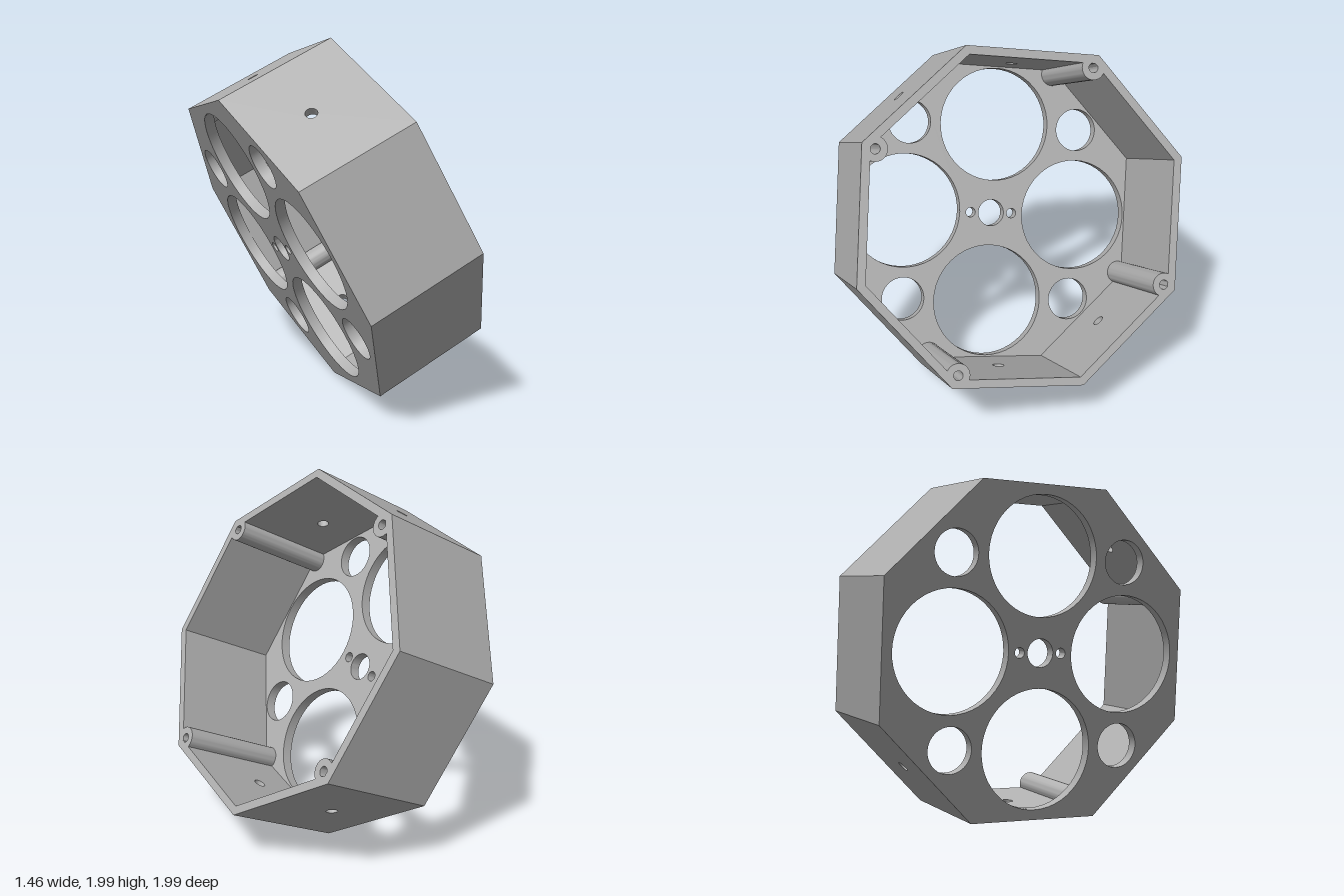
import * as THREE from 'three';
import { toCreasedNormals } from 'three/addons/utils/BufferGeometryUtils.js';

const R = 0.959;                           // octagon corner radius
const STEP = Math.PI / 4;
const OUTER = R * Math.cos(STEP / 2);      // centre to outer wall face
const WALL = 0.045, INNER = OUTER - WALL;
const HALF = 0.34;                         // half the box depth
const FLOOR = 0.06;

const polar = (r, angle) => new THREE.Vector2(r * Math.cos(angle), r * Math.sin(angle));

function punch(shape, centre, r) {
  const hole = new THREE.Path();
  hole.absarc(centre.x, centre.y, r, 0, Math.PI * 2, true);
  shape.holes.push(hole);
}

function extrude(shape, depth) {
  return new THREE.ExtrudeGeometry(shape, { depth, bevelEnabled: false, curveSegments: 24 });
}

export function createModel() {
  const model = new THREE.Group();
  model.name = 'octagonalHousing';
  const grey = new THREE.MeshStandardMaterial({ color: 0xb0b0b0 });
  grey.name = 'plain grey';

  const add = (name, geometry) => {
    const mesh = new THREE.Mesh(toCreasedNormals(geometry, 0.5), grey);
    mesh.name = name;
    model.add(mesh);
    return mesh;
  };

  // Floor plate with four large, four small and three central holes
  const corners = [];
  for (let i = 0; i < 8; i++) corners.push(polar(INNER / Math.cos(STEP / 2), i * STEP));
  const plate = new THREE.Shape(corners);
  for (let i = 0; i < 4; i++) {
    punch(plate, polar(0.51, STEP * (2 * i - 0.5)), 0.322);
    punch(plate, polar(0.71, STEP * (2 * i + 0.5)), 0.122);
  }
  punch(plate, new THREE.Vector2(), 0.076);
  punch(plate, polar(0.123, STEP * 1.5), 0.028);
  punch(plate, polar(0.123, STEP * 5.5), 0.028);
  add('floorPlate', extrude(plate, FLOOR)).position.z = -HALF;

  // Eight mitred walls; four of them have a screw hole
  const w = OUTER * Math.tan(STEP / 2);
  const axis = new THREE.Vector3(0, 0, 1);
  for (let i = 0; i < 8; i++) {
    const panel = new THREE.Shape([
      new THREE.Vector2(-w, -HALF), new THREE.Vector2(w, -HALF),
      new THREE.Vector2(w, HALF), new THREE.Vector2(-w, HALF),
    ]);
    if ([0, 3, 4, 7].includes(i)) punch(panel, new THREE.Vector2(0, -0.025), 0.032);
    const geometry = extrude(panel, WALL);
    const p = geometry.attributes.position;
    for (let j = 0; j < p.count; j++) {
      // Narrow the inner face so neighbouring walls meet in a mitre
      if (p.getZ(j) < WALL / 2 && Math.abs(p.getX(j)) > w / 2) p.setX(j, p.getX(j) * INNER / OUTER);
    }
    const d = polar(1, (i + 0.5) * STEP);
    const radial = new THREE.Vector3(d.x, d.y, 0);
    const tangent = new THREE.Vector3().crossVectors(axis, radial);
    geometry.applyMatrix4(new THREE.Matrix4()
      .makeBasis(tangent, axis, radial)
      .setPosition(radial.clone().multiplyScalar(INNER)));
    add('wall', geometry);
  }

  // Hollow screw posts in every other corner
  for (let i = 0; i < 4; i++) {
    const ring = new THREE.Shape();
    ring.absarc(0, 0, 0.065, 0, Math.PI * 2, false);
    punch(ring, new THREE.Vector2(), 0.026);
    const post = add('screwPost', extrude(ring, 2 * HALF - FLOOR));
    const c = polar(0.885, STEP * (2 * i + 1));
    post.position.set(c.x, c.y, FLOOR - HALF);
  }

  // Tilt the housing so that its open side faces up and to the left
  const open = new THREE.Vector3(0.888, 0.426, 0.169).normalize();
  const side = new THREE.Vector3(-0.094, -0.167, 0.99);
  const up = new THREE.Vector3().crossVectors(side, open).normalize();
  side.crossVectors(open, up);
  model.quaternion.setFromRotationMatrix(new THREE.Matrix4().makeBasis(up, side, open));
  model.position.y = 1;
  return model;
}
